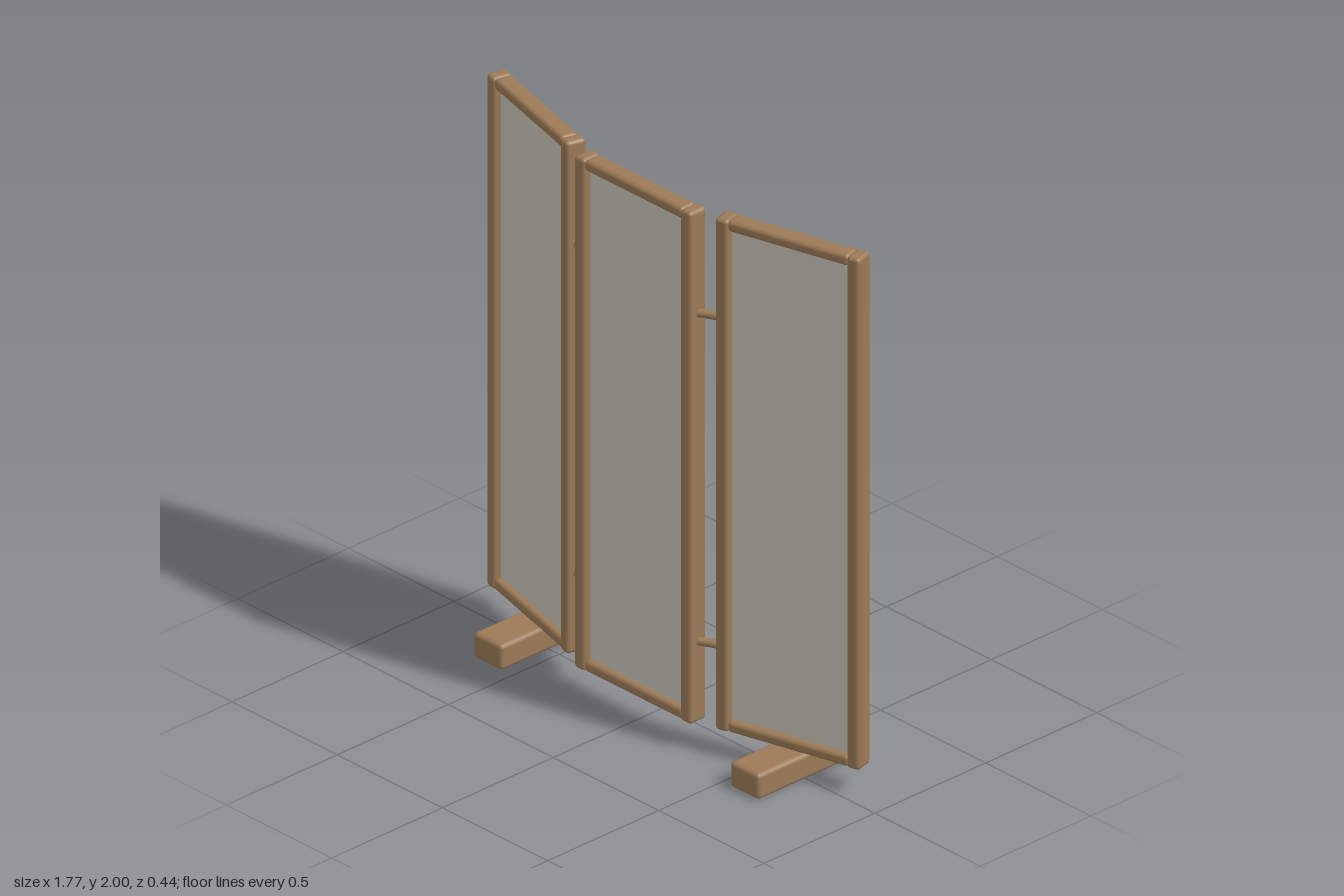
import * as THREE from 'three';
import { RoundedBoxGeometry } from 'three/addons/geometries/RoundedBoxGeometry.js';

export function createModel() {
  const wood = new THREE.MeshStandardMaterial({ color: 0x9c7a57 });
  wood.name = 'wood';
  const cloth = new THREE.MeshStandardMaterial({ color: 0xc9c6b8 });
  cloth.name = 'panel cloth';

  const model = new THREE.Group();
  model.name = 'foldingScreen';

  const add = (parent, name, geometry, material, x, y, z) => {
    const mesh = new THREE.Mesh(geometry, material);
    mesh.name = name;
    mesh.position.set(x, y, z);
    parent.add(mesh);
    return mesh;
  };

  const bottom = 0.095, top = 2, height = top - bottom, middle = (top + bottom) / 2;
  const postX = 0.252, railHeight = 0.042;
  const postGeometry = new RoundedBoxGeometry(0.05, height, 0.076, 2, 0.014);
  const railGeometry = new RoundedBoxGeometry(0.466, railHeight, 0.067, 2, 0.015);
  const sheetGeometry = new THREE.BoxGeometry(0.46, height - railHeight * 1.7, 0.018);

  // One framed panel: two posts, two rails and the sheet between them
  const addPanel = (name, x, z, angle) => {
    const panel = new THREE.Group();
    panel.name = name;
    panel.position.set(x, 0, z);
    panel.rotation.y = angle;
    for (const side of [-1, 1]) add(panel, 'post', postGeometry, wood, side * postX, middle, 0);
    add(panel, 'bottomRail', railGeometry, wood, 0, bottom + railHeight / 2, 0);
    add(panel, 'topRail', railGeometry, wood, 0, top - railHeight / 2, 0);
    add(panel, 'sheet', sheetGeometry, cloth, 0, middle, 0);
    model.add(panel);
  };

  const fold = THREE.MathUtils.degToRad(15);
  addPanel('centrePanel', 0, 0.109, 0);

  const footGeometry = new RoundedBoxGeometry(0.138, bottom, 0.44, 2, 0.016);
  for (const side of [-1, 1]) {
    const label = side > 0 ? 'left' : 'right';
    addPanel(label + 'Panel', side * 0.609, -0.001, side * fold);
    add(model, label + 'Foot', footGeometry, wood, side * 0.61, bottom / 2, 0);

    // Pins joining the side panel to the centre one
    for (const y of [0.393, 1.615]) {
      const from = new THREE.Vector3(side * 0.256, y, 0.111);
      const to = new THREE.Vector3(side * 0.36, y, 0.059);
      const pin = add(model, label + 'Pin', new THREE.CylinderGeometry(0.015, 0.015, from.distanceTo(to), 16), wood, 0, 0, 0);
      pin.position.copy(from).lerp(to, 0.5);
      pin.quaternion.setFromUnitVectors(new THREE.Vector3(0, 1, 0), to.sub(from).normalize());
    }
  }
  return model;
}
